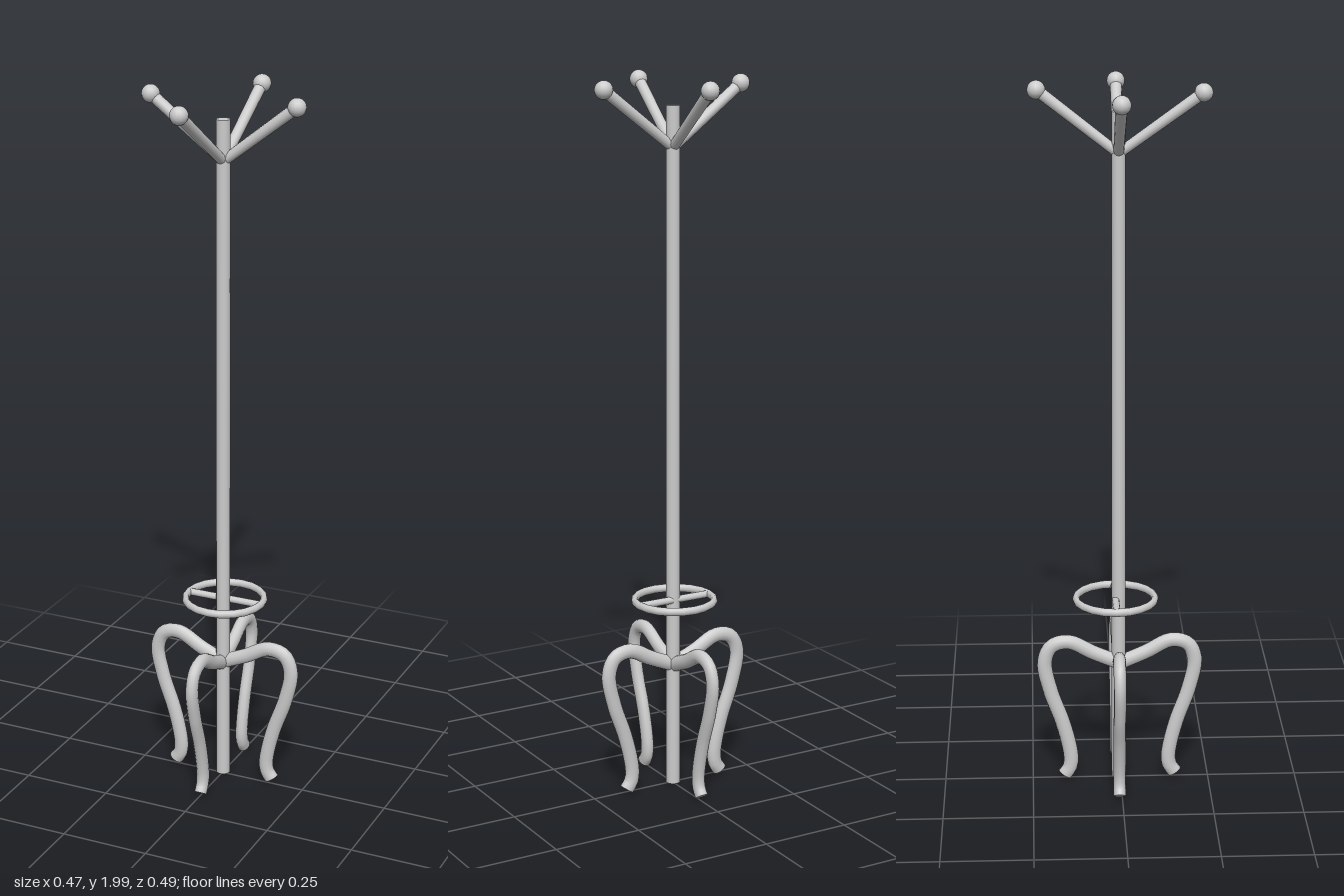
import * as THREE from 'three';

const CENTRE_Z = -0.005;
const material = new THREE.MeshStandardMaterial({ color: 0xcccccc, side: THREE.DoubleSide });

function addMesh(parent, name, geometry, position = [0, 0, 0]) {
  const mesh = new THREE.Mesh(geometry, material);
  mesh.name = name;
  mesh.position.set(...position);
  parent.add(mesh);
  return mesh;
}

// Straight round bar between two points
function addRod(parent, name, from, to, radiusFrom, radiusTo, sides = 12) {
  const axis = to.clone().sub(from);
  const geometry = new THREE.CylinderGeometry(radiusTo, radiusFrom, axis.length(), sides);
  const rod = addMesh(parent, name, geometry);
  rod.position.copy(from).addScaledVector(axis, 0.5);
  rod.quaternion.setFromUnitVectors(new THREE.Vector3(0, 1, 0), axis.normalize());
}

// Curved leg: rises from the pole, bends over and ends in a flared foot
function createLeg() {
  const points = [
    [0, 0.36], [0.07, 0.39], [0.14, 0.424], [0.187, 0.412], [0.207, 0.365], [0.191, 0.275],
    [0.158, 0.18], [0.139, 0.105], [0.134, 0.065], [0.138, 0.038], [0.152, 0.017],
  ].map(([x, y]) => new THREE.Vector3(x, y, 0));
  const curve = new THREE.CatmullRomCurve3(points);
  const leg = new THREE.Group();
  addMesh(leg, 'legTube', new THREE.TubeGeometry(curve, 44, 0.021, 12));
  const cap = addMesh(leg, 'footCap', new THREE.CircleGeometry(0.021, 12), points.at(-1).toArray());
  cap.quaternion.setFromUnitVectors(new THREE.Vector3(0, 0, 1), curve.getTangent(1));
  // oval section, narrower across than in the plane of the bend
  leg.scale.z = 0.82;
  return leg;
}

export function createModel() {
  const stand = new THREE.Group();
  stand.name = 'coatStand';

  // Pole
  addRod(stand, 'pole', new THREE.Vector3(0, 0.008, CENTRE_Z), new THREE.Vector3(0, 1.92, CENTRE_Z), 0.02, 0.019, 16);

  // Four legs, each slightly twisted: [name, turn, z of its root]
  const legs = [
    ['leftLeg', 0.02, CENTRE_Z],
    ['backLeg', Math.PI / 2 + 0.02, CENTRE_Z - 0.002],
    ['rightLeg', Math.PI - 0.02, CENTRE_Z],
    ['frontLeg', -Math.PI / 2 + 0.02, CENTRE_Z + 0.008],
  ];
  for (const [name, turn, z] of legs) {
    const leg = createLeg();
    leg.name = name;
    leg.position.z = z;
    leg.rotation.y = turn;
    stand.add(leg);
  }

  // Umbrella ring, a little taller than wide in section, with its cross bar
  const ring = addMesh(stand, 'umbrellaRing', new THREE.TorusGeometry(0.111, 0.0095, 10, 20), [0.001, 0.552, -0.014]);
  ring.rotation.x = Math.PI / 2;
  ring.scale.z = 1.2;
  addRod(stand, 'ringBar', new THREE.Vector3(-0.11, 0.552, -0.014), new THREE.Vector3(0.11, 0.552, -0.014), 0.01, 0.01);

  // Hook arms with ball ends
  const hooks = {
    left: [0.208, 1.969, -0.005],
    right: [-0.21, 1.969, -0.005],
    front: [-0.021, 1.971, 0.217],
    back: [0.015, 1.975, -0.221],
  };
  for (const [side, tip] of Object.entries(hooks)) {
    const hook = new THREE.Group();
    hook.name = `${side}Hook`;
    addRod(hook, 'arm', new THREE.Vector3(0, 1.808, CENTRE_Z), new THREE.Vector3(...tip), 0.014, 0.016);
    addMesh(hook, 'ball', new THREE.SphereGeometry(0.025, 14, 10), tip);
    stand.add(hook);
  }

  return stand;
}
